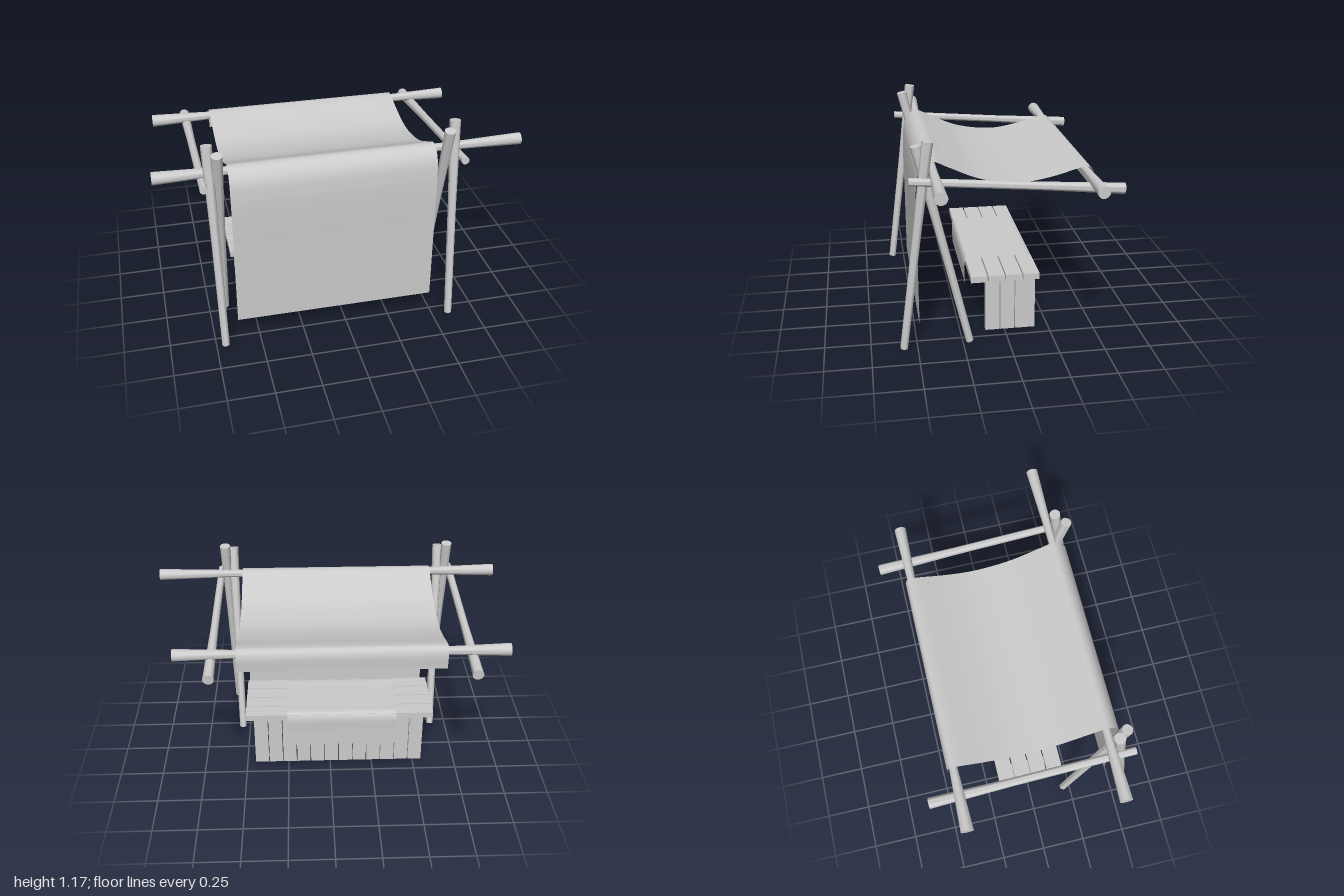
import * as THREE from 'three';
import { toCreasedNormals } from 'three/addons/utils/BufferGeometryUtils.js';

const CX = -0.055; // mirror plane of the stall
const wood = new THREE.MeshStandardMaterial({ color: 0xcccccc });
const fabric = new THREE.MeshStandardMaterial({ color: 0xcccccc, side: THREE.DoubleSide });
const V = (x, y, z) => new THREE.Vector3(x, y, z);

// Round pole from a to b; stops are [fraction along, radius]
function pole(name, a, b, stops) {
  const length = a.distanceTo(b);
  const profile = [
    new THREE.Vector2(0, 0),
    ...stops.map(([t, r]) => new THREE.Vector2(r, t * length)),
    new THREE.Vector2(0, length),
  ];
  const mesh = new THREE.Mesh(toCreasedNormals(new THREE.LatheGeometry(profile, 20), 0.7), wood);
  mesh.name = name;
  mesh.position.copy(a);
  mesh.quaternion.setFromUnitVectors(V(0, 1, 0), b.clone().sub(a).normalize());
  return mesh;
}

// Box given by its extents
function plank(name, x0, x1, y0, y1, z0, z1) {
  const mesh = new THREE.Mesh(new THREE.BoxGeometry(x1 - x0, y1 - y0, z1 - z0), wood);
  mesh.name = name;
  mesh.position.set((x0 + x1) / 2, (y0 + y1) / 2, (z0 + z1) / 2);
  return mesh;
}

// Thin sheet following a [z, y] profile, spanning x0 to x1
function cloth(name, x0, x1, profile, segments) {
  const curve = new THREE.CatmullRomCurve3(profile.map(([z, y]) => V(0, y, z)), false, 'centripetal');
  const geo = new THREE.PlaneGeometry(x1 - x0, 1, 1, segments);
  const p = geo.attributes.position;
  for (let i = 0; i < p.count; i++) {
    const c = curve.getPointAt(THREE.MathUtils.clamp(p.getY(i) + 0.5, 0, 1));
    p.setXYZ(i, p.getX(i) + (x0 + x1) / 2, c.y, c.z);
  }
  geo.computeVertexNormals();
  const mesh = new THREE.Mesh(geo, fabric);
  mesh.name = name;
  return mesh;
}

export function createModel() {
  const model = new THREE.Group();
  model.name = 'marketStall';

  // Cross poles, flared at both ends
  const flared = [[0, 0.035], [0.2, 0.022], [0.8, 0.022], [1, 0.033]];
  model.add(
    pole('frontCrossPole', V(-1, 1.005, 0.395), V(1, 1.005, 0.395), flared),
    pole('rearCrossPole', V(-0.95, 0.937, -0.43), V(0.84, 0.937, -0.43), flared),
  );

  // Crossed legs and a sloping rail on each side
  for (const s of [-1, 1]) {
    const side = new THREE.Group();
    side.name = s < 0 ? 'rightFrame' : 'leftFrame';
    const at = (d, y, z) => V(CX + s * d, y, z);
    const taper = [[0, 0.021], [0.6, 0.023], [1, 0.03]];
    side.add(
      pole('frontLeg', at(0.645, 0.018, 0.575), at(0.66, 1.172, 0.422), taper),
      pole('backLeg', at(0.6, 0.01, 0.212), at(0.615, 1.138, 0.478), taper),
      pole('sideRail', at(0.695, 0.976, 0.525), at(0.697, 0.885, -0.595), [[0, 0.021], [0.6, 0.022], [1, 0.03]]),
    );
    model.add(side);
  }

  // Canopy: front curtain, sagging roof and short rear flap
  model.add(cloth('canopy', -0.615, 0.505, [
    [0.482, 0.1], [0.482, 0.5], [0.48, 0.88], [0.465, 0.97], [0.43, 1.02], [0.39, 1.034],
    [0.31, 1.0], [0.16, 0.935], [0.03, 0.907], [-0.1, 0.9], [-0.25, 0.925], [-0.41, 0.968],
    [-0.445, 0.968], [-0.463, 0.94], [-0.463, 0.845],
  ], 120));

  // Counter top boards
  const counter = new THREE.Group();
  counter.name = 'counter';
  for (let i = 0; i < 4; i++) {
    const z = -0.185 + i * 0.0965;
    counter.add(plank('topBoard', CX - 0.55, CX + 0.55, 0.33, 0.365, z, z + 0.09));
  }
  // Rear panel boards
  for (let i = 0; i < 12; i++) {
    const x = -0.55 + i * 0.0836;
    counter.add(plank('rearBoard', x, x + 0.0795, 0.015, 0.33, -0.17, -0.13));
  }
  // End panel boards; the front stays open
  for (const x of [-0.55, 0.415]) {
    for (let i = 0; i < 3; i++) {
      const z = 0.11 - i * 0.084;
      counter.add(plank('endBoard', x, x + 0.035, 0.015, 0.33, Math.max(z - 0.079, -0.13), z));
    }
  }
  // Table runner draped over the counter
  counter.add(cloth('tableRunner', -0.39, 0.25, [
    [-0.192, 0.155], [-0.192, 0.25], [-0.192, 0.345], [-0.178, 0.37], [-0.1, 0.373],
    [0.1, 0.373], [0.185, 0.371], [0.199, 0.35], [0.199, 0.22],
  ], 60));
  model.add(counter);

  return model;
}
